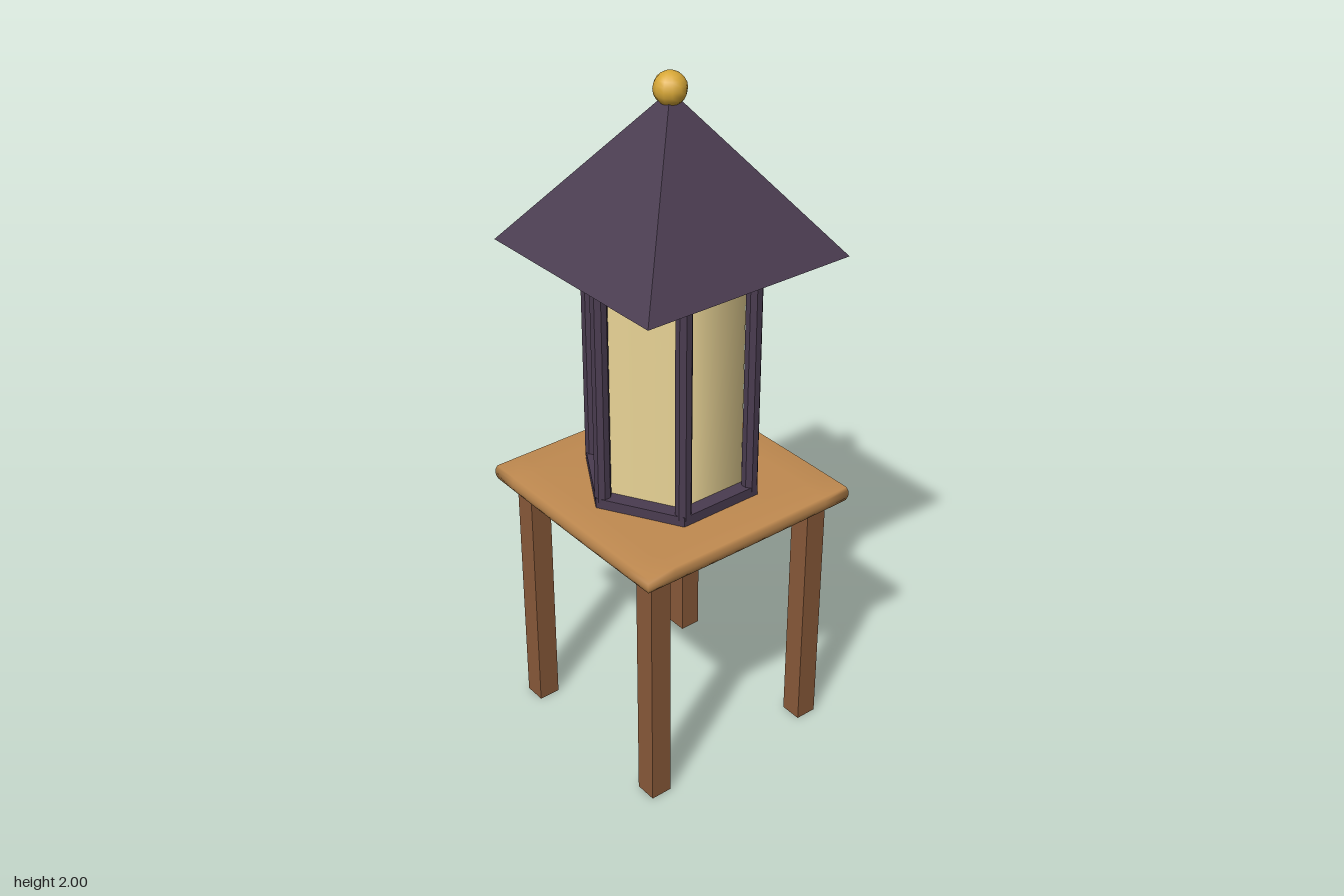
import * as THREE from 'three';
import { mergeVertices } from 'three/addons/utils/BufferGeometryUtils.js';

const paint = (color, flatShading = false) => {
  const m = new THREE.MeshStandardMaterial({ color });
  m.flatShading = flatShading;
  return m;
};

// Softly rounded, slightly domed square slab with continuous smooth normals
function slabGeometry(half, thick) {
  const h = thick / 2;
  const g = new THREE.BoxGeometry(half * 2, thick, half * 2, 8, 4, 8);
  const p = g.attributes.position;
  for (let i = 0; i < p.count; i++) {
    const x = p.getX(i), y = p.getY(i), z = p.getZ(i);
    const u = x / half, v = z / half, t = y / h;
    const side = 1 - 0.015 * t * t;
    const bulge = 0.006;
    p.setXYZ(i,
      x * side * (1 + bulge * (1 - v * v)),
      y * (1 + 0.14 * (1 - u * u) * (1 - v * v)),
      z * side * (1 + bulge * (1 - u * u)));
  }
  g.deleteAttribute('normal');
  g.deleteAttribute('uv');
  const merged = mergeVertices(g);
  merged.computeVertexNormals();
  return merged;
}

export function createModel() {
  const model = new THREE.Group();
  model.name = 'lanternOnTable';

  const dark = paint(0x4a3c50, true);
  const legWood = paint(0x8a5a3a);
  const topWood = paint(0xc08a50);
  const paper = paint(0xf2dc9c);
  const gold = paint(0xd8a838);

  const add = (name, geometry, material, x, y, z, parent = model) => {
    const mesh = new THREE.Mesh(geometry, material);
    mesh.name = name;
    mesh.position.set(x, y, z);
    parent.add(mesh);
    return mesh;
  };

  // Table: four square legs and a slab
  const table = new THREE.Group();
  table.name = 'table';
  model.add(table);
  const legGeo = new THREE.BoxGeometry(0.065, 0.77, 0.065);
  for (const sx of [-1, 1])
    for (const sz of [-1, 1])
      add('tableLeg', legGeo, legWood, sx * 0.278, 0.385, sz * 0.278, table);
  add('tableTop', slabGeometry(0.356, 0.044), topWood, 0, 0.789, 0, table);

  // Lantern body: hexagonal base, paper shade and six corner posts
  const lantern = new THREE.Group();
  lantern.name = 'lantern';
  model.add(lantern);
  const hex = (r, h) => new THREE.CylinderGeometry(r, r, h, 6).rotateY(Math.PI / 6);
  add('lanternBase', hex(0.26, 0.035), dark, 0, 0.825, 0, lantern);
  add('paperShade', hex(0.212, 0.69), paper, 0, 1.175, 0, lantern);
  const postGeo = new THREE.CylinderGeometry(0.0235, 0.0235, 0.69, 8).rotateY(Math.PI / 8);
  for (let i = 0; i < 6; i++) {
    const a = i * Math.PI / 3;
    add('cornerPost', postGeo, dark, 0.235 * Math.cos(a), 1.175, 0.24 * Math.sin(a) * 0.985, lantern);
  }

  // Pyramid roof with a ball finial
  const roofGeo = new THREE.ConeGeometry(0.33 * Math.SQRT2, 0.43, 4).rotateY(Math.PI / 4);
  add('roof', roofGeo, dark, 0, 1.735, 0, lantern);
  add('finial', new THREE.SphereGeometry(0.045, 12, 10), gold, 0, 1.955, 0, lantern);

  return model;
}
